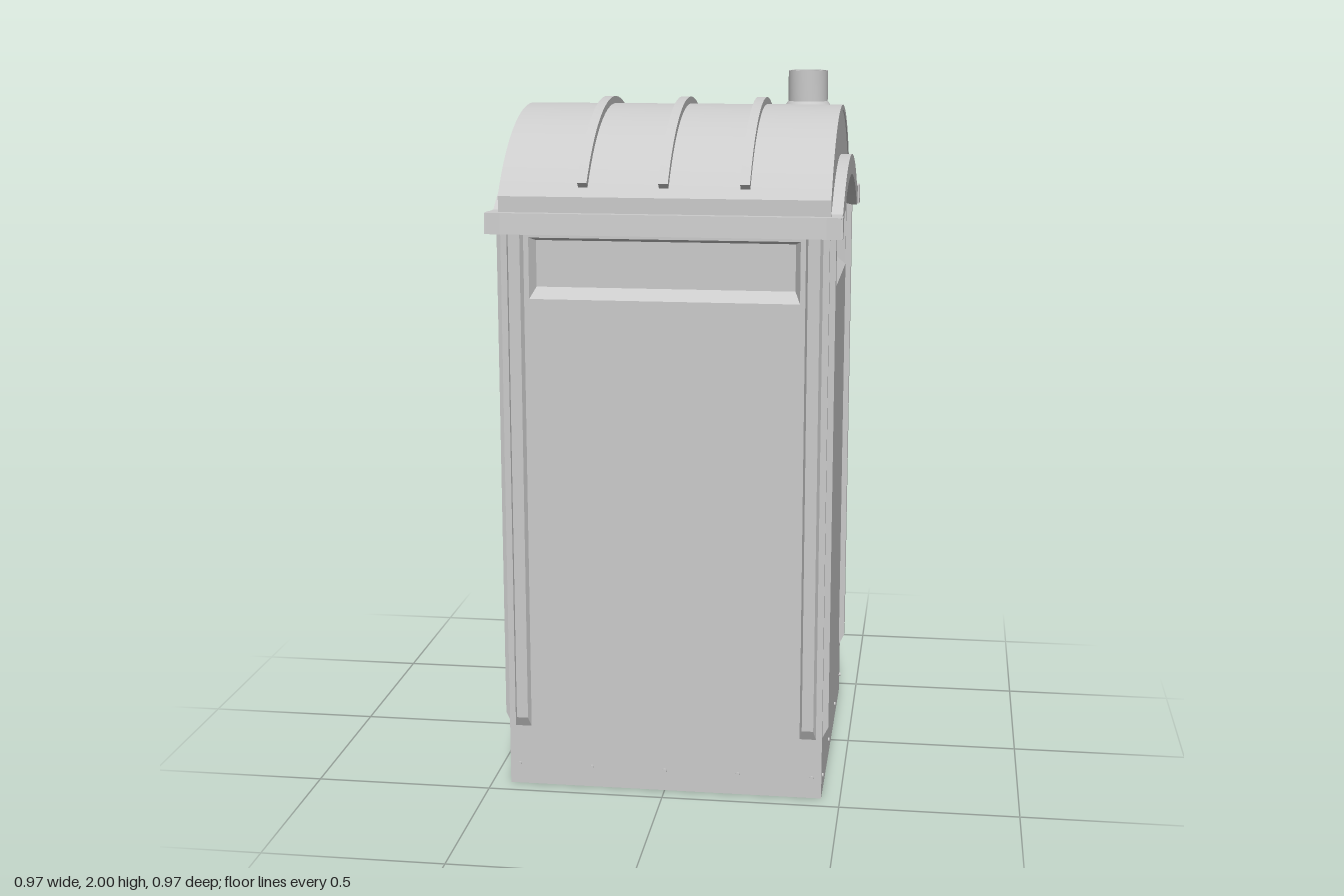
import * as THREE from 'three';
import { toCreasedNormals } from 'three/addons/utils/BufferGeometryUtils.js';

const grey = new THREE.MeshStandardMaterial({ color: 0xcccccc, side: THREE.DoubleSide });
const W = 0.447; // half width of the cabin
const V = (x, y) => new THREE.Vector2(x, y);

function add(parent, name, geo) {
  const mesh = new THREE.Mesh(geo, grey);
  mesh.name = name;
  parent.add(mesh);
  return mesh;
}

// Points on an arch from +half to -half, rising from yEnd to yTop
function arch(half, yEnd, yTop, n = 28) {
  const rise = yTop - yEnd;
  const r = (half * half + rise * rise) / (2 * rise);
  const a = Math.asin(half / r);
  return Array.from({ length: n + 1 }, (_, i) => {
    const t = a * (1 - (2 * i) / n);
    return V(r * Math.sin(t), yTop - r + r * Math.cos(t));
  });
}

function extrude(points, depth) {
  const shape = points instanceof THREE.Shape ? points : new THREE.Shape(points);
  const geo = new THREE.ExtrudeGeometry(shape, { depth, bevelEnabled: false, curveSegments: 10 });
  return toCreasedNormals(geo, 0.5);
}

// Extrusion of a z-y profile running along x from x0 to x1
const alongX = (points, x0, x1) =>
  extrude(points, x1 - x0).rotateY(Math.PI / 2).scale(1, 1, -1).translate(x0, 0, 0);

// The scale above mirrors the solid, so restore outward winding
function flip(geo) {
  const p = geo.attributes.position;
  const a = new THREE.Vector3(), b = new THREE.Vector3();
  for (let i = 0; i < p.count; i += 3) {
    a.fromBufferAttribute(p, i + 1);
    b.fromBufferAttribute(p, i + 2);
    p.setXYZ(i + 1, b.x, b.y, b.z);
    p.setXYZ(i + 2, a.x, a.y, a.z);
  }
  return toCreasedNormals(geo, 0.5);
}

// Raised upright rib: narrower outer face, sloping foot
function ribGeometry() {
  const y0 = 0.175, y1 = 1.61;
  const geo = new THREE.BoxGeometry(0.046, y1 - y0, 0.016).translate(0, (y0 + y1) / 2, 0.008);
  const p = geo.attributes.position;
  for (let i = 0; i < p.count; i++) {
    if (p.getZ(i) < 0.01) continue;
    p.setX(i, p.getX(i) * 0.7);
    if (p.getY(i) < 1) p.setY(i, y0 + 0.03);
  }
  geo.computeVertexNormals();
  return geo;
}

// Sunken window tray with sloping sill
function trayGeometry() {
  const rect = (x, y0, y1, z) => [-x, y0, z, x, y0, z, x, y1, z, -x, y1, z];
  const geo = new THREE.BufferGeometry();
  geo.setAttribute('position', new THREE.Float32BufferAttribute(
    [...rect(0.37, 1.41, 1.578, 0), ...rect(0.355, 1.44, 1.568, -0.03)], 3));
  const index = [4, 5, 6, 4, 6, 7];
  for (let i = 0; i < 4; i++) {
    const j = (i + 1) % 4;
    index.push(i, j, j + 4, i, j + 4, i + 4);
  }
  geo.setIndex(index);
  const flat = geo.toNonIndexed();
  flat.computeVertexNormals();
  return flat;
}

// Upright panel with rounded top corners
function roundedPanel(half, top, r) {
  const s = new THREE.Shape();
  s.moveTo(-half, 0);
  s.lineTo(half, 0);
  s.lineTo(half, top - r);
  s.absarc(half - r, top - r, r, 0, Math.PI / 2, false);
  s.absarc(-half + r, top - r, r, Math.PI / 2, Math.PI, false);
  s.closePath();
  return s;
}

function makeWall(name, { gable, door }) {
  const wall = new THREE.Group();
  wall.name = name;
  const top = gable ? arch(0.445, 1.68, 1.905) : [V(W, 1.65), V(-W, 1.65)];
  const shape = new THREE.Shape([V(-W, 0), V(W, 0), ...top]);
  if (!door) {
    shape.holes.push(new THREE.Path([V(-0.37, 1.41), V(-0.37, 1.578), V(0.37, 1.578), V(0.37, 1.41)]));
    add(wall, 'windowRecess', trayGeometry());
  } else {
    add(wall, 'doorFrame', extrude(roundedPanel(0.305, 1.57, 0.03), 0.009)).position.x = 0.01;
    add(wall, 'doorPanel', extrude(roundedPanel(0.288, 1.53, 0.13), 0.022)).position.x = 0.01;
  }
  add(wall, 'wallPanel', new THREE.ShapeGeometry(shape));
  for (const s of [-1, 1]) add(wall, 'cornerRib', ribGeometry()).position.x = s * 0.407;

  // Small fixings along the foot
  const spots = door ? [-0.42, -0.35, 0.37, 0.42] : gable ? [-0.42, -0.15, 0.15, 0.42] : [-0.42, -0.21, 0, 0.21, 0.42];
  for (const x of spots) {
    const bolt = add(wall, 'bolt', new THREE.CylinderGeometry(0.006, 0.006, 0.008, 10));
    bolt.rotation.x = Math.PI / 2;
    bolt.position.set(x, 0.06, 0.001);
  }
  return wall;
}

export function createModel() {
  const model = new THREE.Group();
  model.name = 'portableCabin';

  // Four walls, each turned to face outward
  const walls = [['frontWall', {}], ['leftWall', { gable: true }], ['backWall', {}],
    ['doorWall', { gable: true, door: true }]];
  walls.forEach(([name, options], i) => {
    const wall = makeWall(name, options);
    const a = (i * Math.PI) / 2;
    wall.rotation.y = a;
    wall.position.set(Math.sin(a) * W, 0, Math.cos(a) * W);
    model.add(wall);
  });

  // Eaves: straight at front and back, arched over the gables
  const lip = [V(0.44, 1.59), V(0.485, 1.59), V(0.48, 1.647), V(0.44, 1.647)];
  const band = [V(0.485, 1.59), V(0.482, 1.647), ...arch(0.39, 1.647, 1.775),
    V(-0.482, 1.647), V(-0.485, 1.59), ...arch(0.39, 1.592, 1.717).reverse()];
  for (const s of [-1, 1]) {
    const eave = add(model, 'straightEave', flip(alongX(lip, -0.483, 0.483)));
    if (s < 0) eave.rotation.y = Math.PI;
    const arched = add(model, 'archedEave', flip(alongX(band, 0.44, 0.478)));
    if (s < 0) arched.rotation.y = Math.PI;
  }

  // Barrel roof shell, its ends drawn in slightly towards the crown
  const shell = [V(0.455, 1.64), ...arch(0.455, 1.69, 1.915), V(-0.455, 1.64),
    V(-0.44, 1.64), ...arch(0.44, 1.68, 1.9).reverse(), V(0.44, 1.64)];
  add(model, 'roof', flip(alongX(shell, -0.45, 0.45)));

  // Stiffening ribs over the roof
  const R = 0.5725, cy = 1.3425, n = 28;
  const ribArc = (r) => Array.from({ length: n + 1 }, (_, i) => {
    const t = 0.863 * (1 - (2 * i) / n);
    return V(r * Math.sin(t), cy + r * Math.cos(t));
  });
  const ribProfile = [...ribArc(R + 0.02), ...ribArc(R - 0.005).reverse()];
  for (const x of [-0.22, 0, 0.22]) {
    add(model, 'roofRib', flip(alongX(ribProfile, x - 0.013, x + 0.013)));
  }

  // Vent pipe with stepped collar and open mouth
  const pipe = [V(0.077, 1.765), V(0.067, 1.83), V(0.066, 1.9), V(0.059, 1.91), V(0.059, 2),
    V(0.053, 2), V(0.053, 1.92), V(0, 1.92)];
  const vent = new THREE.LatheGeometry(pipe, 32);
  add(model, 'ventPipe', toCreasedNormals(vent, 0.5)).position.set(0.33, 0, -0.31);

  return model;
}
